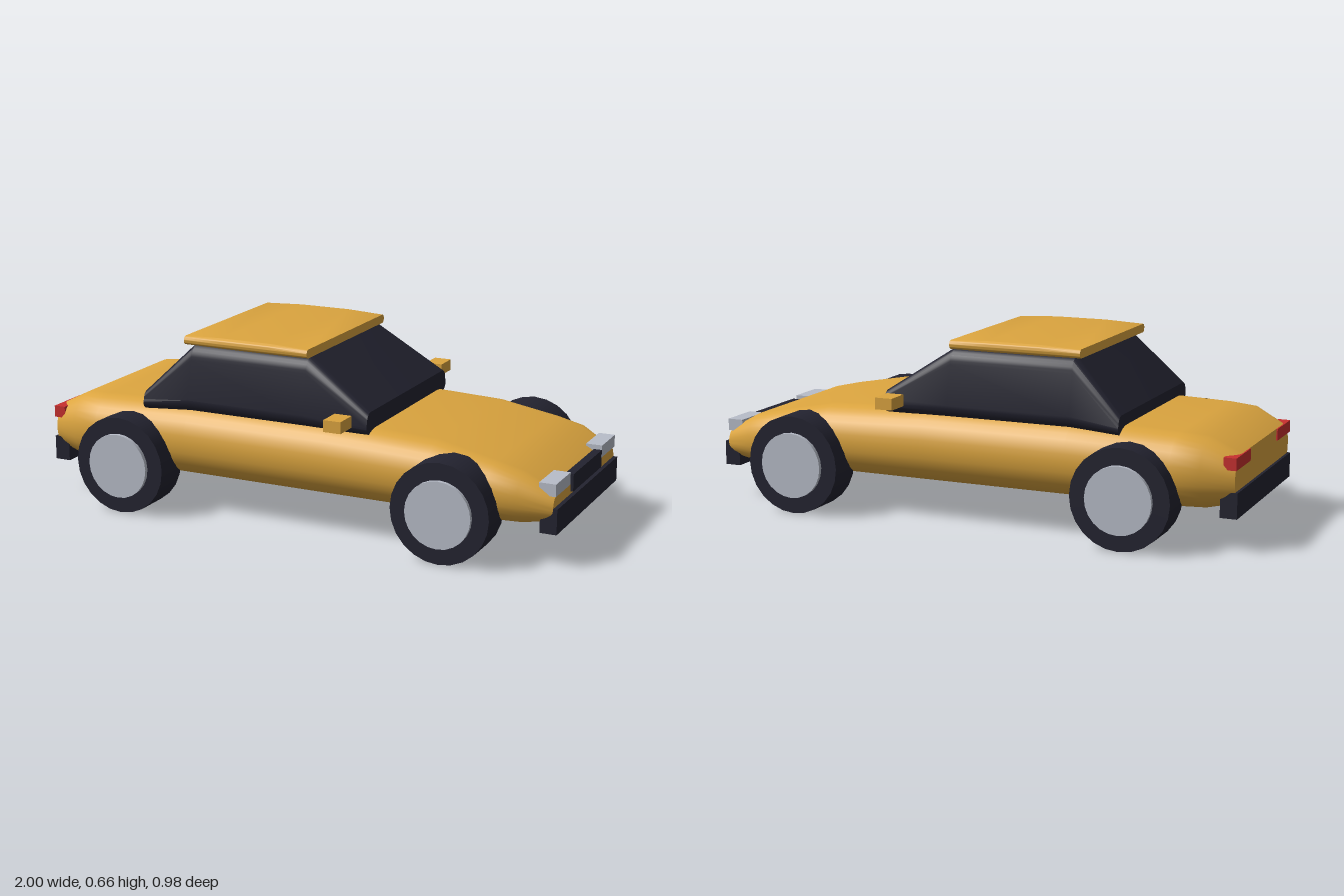
import * as THREE from 'three';
import { toCreasedNormals } from 'three/addons/utils/BufferGeometryUtils.js';

const paint = (name, color) => {
  const m = new THREE.MeshStandardMaterial({ color });
  m.name = name;
  return m;
};

// Rounded cross-section in the z-y plane; widths may differ at bottom and top
function ring({ y0, y1, bottom, top = bottom, r }) {
  const points = [], steps = 8;
  for (let corner = 0; corner < 4; corner++) {
    const upper = corner < 2;
    const side = corner === 0 || corner === 3 ? 1 : -1;
    const cz = side * ((upper ? top : bottom) - r);
    const cy = upper ? y1 - r : y0 + r;
    for (let i = 0; i <= steps; i++) {
      const a = (corner + i / steps) * Math.PI / 2;
      points.push([cy + r * Math.sin(a), cz + r * Math.cos(a)]);
    }
  }
  return points;
}

// Skin a row of cross-sections along x and close both ends
function loft(sections, crease = 0.6) {
  const positions = [], index = [];
  const rings = sections.map(ring);
  const n = rings[0].length, last = sections.length - 1;
  rings.forEach((pts, s) => pts.forEach(([y, z]) => positions.push(sections[s].x, y, z)));
  for (let s = 0; s < last; s++) {
    for (let i = 0; i < n; i++) {
      const j = (i + 1) % n, a = s * n, b = a + n;
      index.push(a + i, b + i, a + j, b + i, b + j, a + j);
    }
  }
  for (const s of [0, last]) {
    const c = positions.length / 3;
    positions.push(sections[s].x, (sections[s].y0 + sections[s].y1) / 2, 0);
    for (let i = 0; i < n; i++) {
      const a = s * n + i, b = s * n + (i + 1) % n;
      if (s === 0) index.push(c, a, b);
      else index.push(c, b, a);
    }
  }
  const geometry = new THREE.BufferGeometry();
  geometry.setAttribute('position', new THREE.Float32BufferAttribute(positions, 3));
  geometry.setIndex(index);
  return toCreasedNormals(geometry, crease);
}

export function createModel() {
  const car = new THREE.Group();
  car.name = 'car';
  const ochre = paint('ochre paint', 0xdca53f);
  const dark = paint('dark trim', 0x232330);
  const silver = paint('silver', 0xb8bdc9);
  const red = paint('red lamp', 0xc8302f);

  const add = (name, geometry, material, x = 0, y = 0, z = 0) => {
    const mesh = new THREE.Mesh(geometry, material);
    mesh.name = name;
    mesh.position.set(x, y, z);
    car.add(mesh);
    return mesh;
  };
  // Box given by its extents
  const block = (name, material, x0, x1, y0, y1, z0, z1) =>
    add(name, new THREE.BoxGeometry(x1 - x0, y1 - y0, z1 - z0), material,
      (x0 + x1) / 2, (y0 + y1) / 2, (z0 + z1) / 2);

  // Body: x, bottom, top, half width
  const hull = [
    [-0.99, 0.16, 0.33, 0.335], [-0.88, 0.137, 0.385, 0.385], [-0.78, 0.135, 0.392, 0.4],
    [-0.4, 0.133, 0.405, 0.402], [0.15, 0.133, 0.403, 0.402], [0.55, 0.135, 0.385, 0.4],
    [0.77, 0.137, 0.343, 0.396], [0.87, 0.14, 0.32, 0.383], [0.985, 0.155, 0.257, 0.335],
  ].map(([x, y0, y1, bottom]) => ({ x, y0, y1, bottom, r: (y1 - y0) * 0.47 }));
  add('body', loft(hull), ochre);

  // Dark glasshouse
  add('cabin', loft([
    { x: -0.585, y0: 0.37, y1: 0.44, bottom: 0.365, top: 0.36, r: 0.03 },
    { x: -0.4, y0: 0.37, y1: 0.625, bottom: 0.358, top: 0.327, r: 0.055 },
    { x: 0.06, y0: 0.37, y1: 0.625, bottom: 0.358, top: 0.327, r: 0.055 },
    { x: 0.31, y0: 0.38, y1: 0.46, bottom: 0.358, top: 0.352, r: 0.03 },
  ], 0.5), dark);

  // Roof panel with a slight camber
  add('roof', loft([
    { x: -0.43, y0: 0.622, y1: 0.654, bottom: 0.327, r: 0.015 },
    { x: -0.28, y0: 0.622, y1: 0.66, bottom: 0.335, r: 0.018 },
    { x: -0.08, y0: 0.622, y1: 0.66, bottom: 0.335, r: 0.018 },
    { x: 0.065, y0: 0.622, y1: 0.654, bottom: 0.327, r: 0.015 },
  ]), ochre);

  // Bumpers and grille
  block('frontBumper', dark, 0.94, 1, 0.12, 0.21, -0.335, 0.335);
  block('rearBumper', dark, -1, -0.94, 0.12, 0.21, -0.335, 0.335);
  block('grille', dark, 0.965, 0.995, 0.22, 0.283, -0.157, 0.157);

  // Mirrored lamps, door mirrors and wheels
  for (const side of [1, -1]) {
    const label = side > 0 ? 'left' : 'right';
    const pair = (name, material, x0, x1, y0, y1, z0, z1) =>
      block(label + name, material, x0, x1, y0, y1,
        Math.min(side * z0, side * z1), Math.max(side * z0, side * z1));
    pair('Headlight', silver, 0.93, 0.99, 0.25, 0.294, 0.175, 0.326);
    pair('TailLight', red, -0.995, -0.95, 0.287, 0.33, 0.17, 0.34);
    pair('DoorMirror', ochre, 0.21, 0.275, 0.42, 0.462, 0.402, 0.492);

    for (const [end, x] of [['Front', 0.63], ['Rear', -0.63]]) {
      const tyre = new THREE.CylinderGeometry(0.18, 0.18, 0.135, 24).rotateX(Math.PI / 2);
      add(label + end + 'Tyre', tyre, dark, x, 0.18, side * 0.4025);
      const hub = new THREE.CylinderGeometry(0.12, 0.12, 0.145, 24).rotateX(Math.PI / 2);
      add(label + end + 'Hub', hub, silver, x, 0.18, side * 0.4125);
    }
  }
  return car;
}
